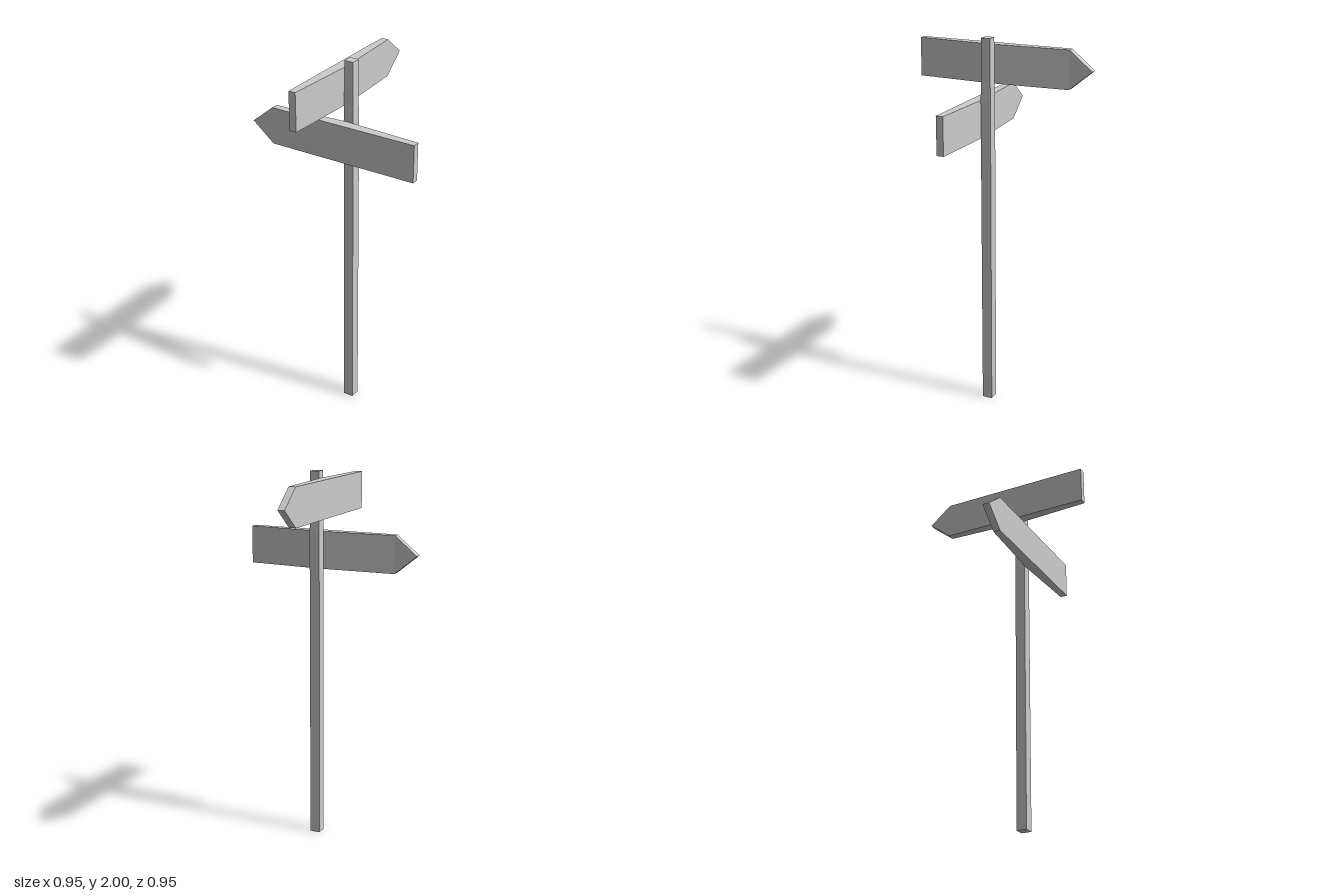
import * as THREE from 'three';

const material = new THREE.MeshStandardMaterial({ color: 0xcccccc, flatShading: true });

// Lofts a closed solid along x from four-cornered sections, skipping collapsed triangles
function loftBoard(sections) {
  const rings = sections.map(({ x, half, front, back }) => [
    [half, front], [-half, front], [-half, back], [half, back],
  ].map(([y, z]) => new THREE.Vector3(x, y, z)));
  const positions = [];
  const tri = (a, b, c) => {
    if (new THREE.Triangle(a, b, c).getArea() < 1e-9) return;
    for (const p of [a, b, c]) positions.push(p.x, p.y, p.z);
  };
  const quad = (a, b, c, d) => { tri(a, b, c); tri(a, c, d); };
  for (let i = 0; i < rings.length - 1; i++) {
    for (let k = 0; k < 4; k++) {
      const n = (k + 1) % 4;
      quad(rings[i][k], rings[i][n], rings[i + 1][n], rings[i + 1][k]);
    }
  }
  quad(...rings[0].slice().reverse());
  quad(...rings[rings.length - 1]);
  const geometry = new THREE.BufferGeometry();
  geometry.setAttribute('position', new THREE.Float32BufferAttribute(positions, 3));
  geometry.computeVertexNormals();
  return geometry;
}

// Arrow board pointing to -x, thickened at the back where it meets the post
function arrowBoard(name) {
  const front = 0.152;
  const geometry = loftBoard([
    { x: -0.475, half: 0, front, back: 0.114 },
    { x: -0.353, half: 0.1, front, back: 0.114 },
    { x: 0.041, half: 0.1, front, back: 0.095 },
    { x: 0.095, half: 0.1, front, back: 0.095 },
    { x: 0.473, half: 0.1, front, back: 0.114 },
  ]);
  const board = new THREE.Mesh(geometry, material);
  board.name = name;
  return board;
}

// Square post, very slightly slimmer above the lower board
function signPost() {
  const geometry = new THREE.BoxGeometry(0.055, 2, 0.055, 1, 3, 1);
  const levels = [0, 1.68, 1.78, 2];
  const widths = [1, 1, 0.93, 0.91];
  const pos = geometry.attributes.position;
  for (let i = 0; i < pos.count; i++) {
    const row = Math.round((pos.getY(i) + 1) * 1.5);
    pos.setXYZ(i, pos.getX(i) * widths[row], levels[row], pos.getZ(i) * widths[row]);
  }
  geometry.computeVertexNormals();
  const post = new THREE.Mesh(geometry, material);
  post.name = 'post';
  post.position.set(0.068, 0, 0.068);
  return post;
}

export function createModel() {
  const group = new THREE.Group();
  group.name = 'signpost';

  // Lower board on the front of the post
  const lower = arrowBoard('lowerArrowBoard');
  lower.position.y = 1.583;

  // Upper board on the right side, pointing backward
  const upper = arrowBoard('upperArrowBoard');
  upper.rotation.y = -Math.PI / 2;
  upper.position.set(0.135, 1.863, 0);

  group.add(signPost(), lower, upper);
  return group;
}
